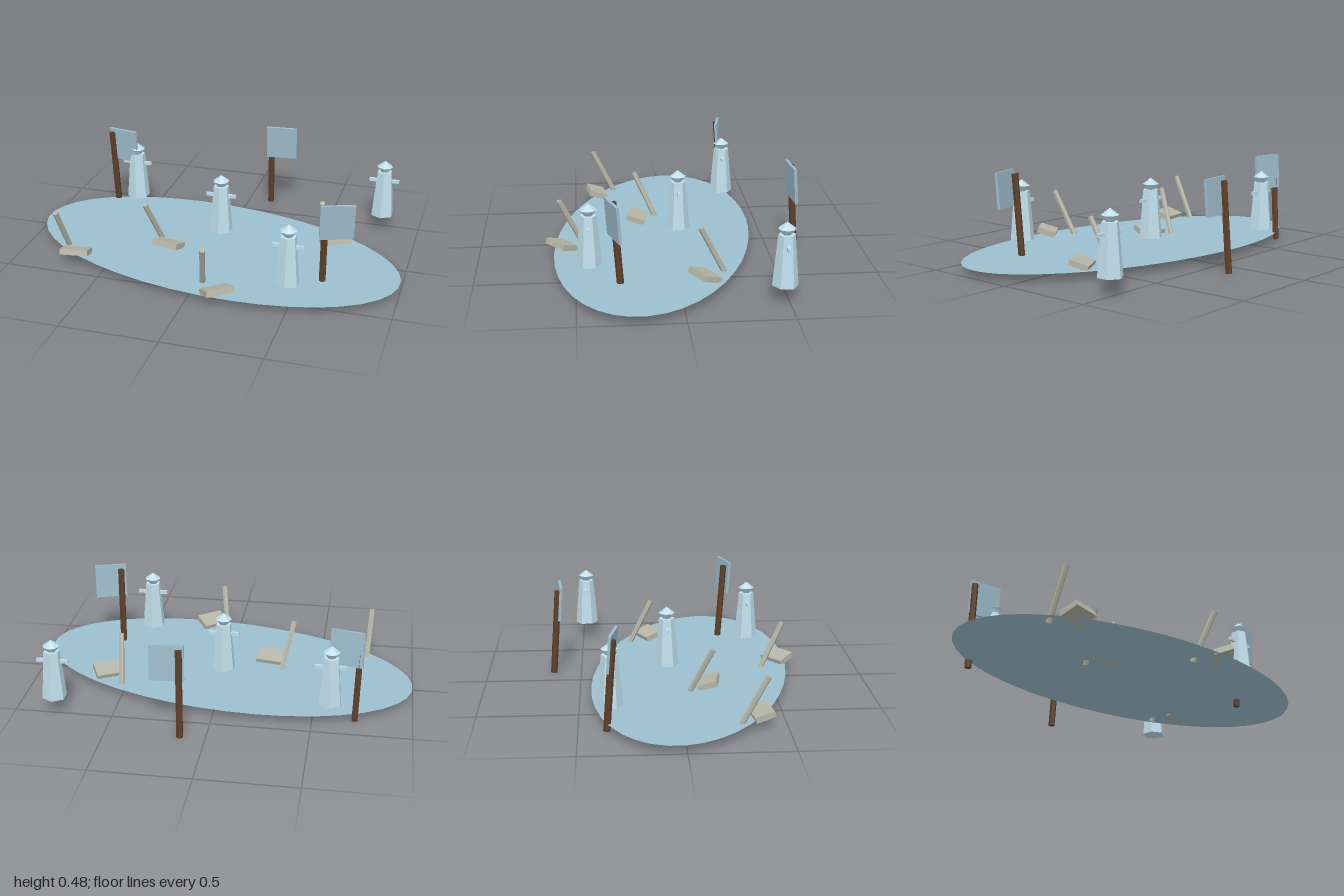
import * as THREE from 'three';

const mat = (color) => new THREE.MeshStandardMaterial({ color, flatShading: true, side: THREE.DoubleSide });
const waterMat = mat(0x9cc0ce);
const towerMat = mat(0xbfdfec);
const panelMat = mat(0x9cbccb);
const woodMat = mat(0x5e4028);
const stoneMat = mat(0xb4b5a5);

function add(parent, name, geometry, material, x = 0, y = 0, z = 0) {
  const mesh = new THREE.Mesh(geometry, material);
  mesh.name = name;
  mesh.position.set(x, y, z);
  parent.add(mesh);
  return mesh;
}

// Straight six-sided rod between two points
function rod(parent, name, from, to, radius, material) {
  const a = new THREE.Vector3(...from), b = new THREE.Vector3(...to);
  const mesh = add(parent, name, new THREE.CylinderGeometry(radius, radius, a.distanceTo(b), 6), material);
  mesh.position.copy(a).lerp(b, 0.5);
  mesh.quaternion.setFromUnitVectors(new THREE.Vector3(0, 1, 0), b.sub(a).normalize());
}

// Tapered hexagonal hydrant with a pointed cap and two side arms
function makeHydrant(x, z) {
  const g = new THREE.Group();
  g.name = 'hydrant';
  add(g, 'hydrantBody', new THREE.CylinderGeometry(0.041, 0.063, 0.255, 6), towerMat, 0, 0.2095, 0);
  add(g, 'capUnderside', new THREE.CylinderGeometry(0.043, 0.02, 0.03, 8, 1, true), towerMat, 0, 0.351, 0);
  add(g, 'capTop', new THREE.ConeGeometry(0.043, 0.033, 8, 1, true), towerMat, 0, 0.382, 0);
  for (const s of [-1, 1]) {
    add(g, 'sideArm', new THREE.BoxGeometry(0.06, 0.018, 0.013), towerMat, s * 0.051, 0.283, 0);
  }
  g.position.set(x, 0, z);
  return g;
}

// Leaning post with an offset panel
function makeSign({ base, topX, panel, yaw }) {
  const g = new THREE.Group();
  g.name = 'sign';
  const lean = 0.073;
  rod(g, 'signPost', [base[0], 0.001, base[1]], [topX, 0.456, base[1] + 0.456 * lean], 0.0175, woodMat);
  const board = add(g, 'signPanel', new THREE.BoxGeometry(0.17, 0.184, 0.014), panelMat, panel[0], 0.385, panel[1]);
  board.rotation.set(lean, yaw, 0, 'YXZ');
  return g;
}

// Tilted slab with a slanted stick beside it
function makeSeat({ slab, yaw, foot, tip }) {
  const g = new THREE.Group();
  g.name = 'brokenSeat';
  const block = add(g, 'seatSlab', new THREE.BoxGeometry(0.146, 0.03, 0.1), stoneMat, slab[0], 0.062, slab[1]);
  block.rotation.set(-0.3, yaw, 0, 'YXZ');
  rod(g, 'seatStick', [foot[0], 0.022, foot[1]], [tip[0], 0.276, tip[1]], 0.0145, stoneMat);
  return g;
}

export function createModel() {
  const model = new THREE.Group();
  model.name = 'pondScene';

  // Flat oval pond
  const oval = new THREE.CircleGeometry(0.505, 40);
  oval.rotateX(-Math.PI / 2);
  oval.scale(2, 1, 1);
  add(model, 'pond', oval, waterMat, 0, 0.04, 0.085).rotation.y = -0.173;

  for (const [x, z] of [[-0.003, -0.043], [0.797, -0.478], [0.472, 0.434], [-0.583, -0.345]]) {
    model.add(makeHydrant(x, z));
  }

  const signs = [
    { base: [-0.712, -0.363], topX: -0.724, panel: [-0.657, -0.332], yaw: -0.2 },
    { base: [0.125, -0.647], topX: 0.13, panel: [0.19, -0.61], yaw: 0.09 },
    { base: [0.617, 0.285], topX: 0.625, panel: [0.685, 0.321], yaw: 0.31 },
  ];
  signs.forEach((s) => model.add(makeSign(s)));

  const seats = [
    { slab: [-0.67, 0.377], yaw: 0.14, foot: [-0.75, 0.265], tip: [-0.764, 0.393] },
    { slab: [-0.235, 0.16], yaw: -0.18, foot: [-0.298, 0.053], tip: [-0.355, 0.172] },
    { slab: [0.153, 0.57], yaw: 0.68, foot: [0.046, 0.46], tip: [0.083, 0.582] },
    { slab: [0.605, -0.122], yaw: 0.5, foot: [0.51, -0.236], tip: [0.53, -0.108] },
  ];
  seats.forEach((s) => model.add(makeSeat(s)));

  return model;
}
